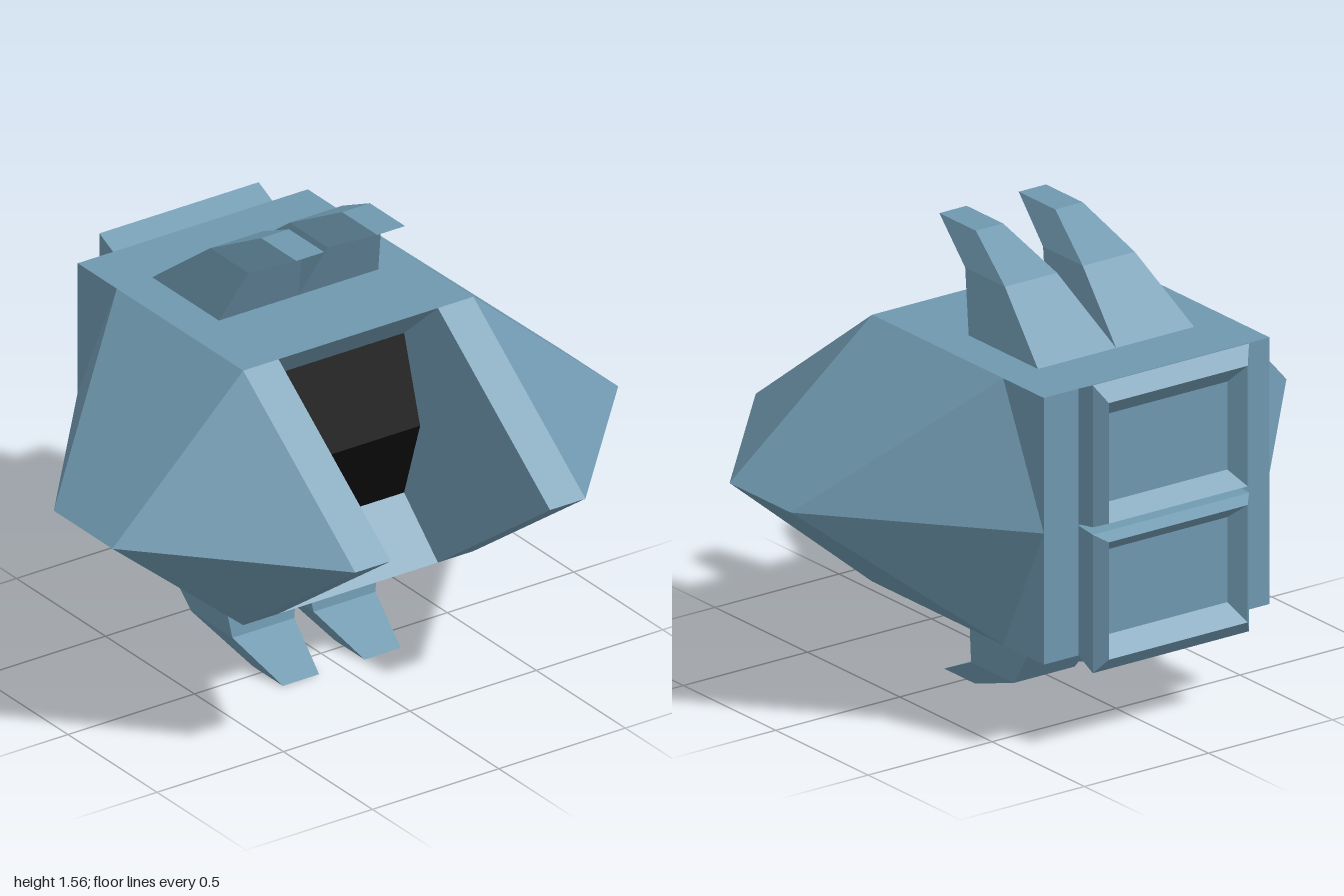
import * as THREE from 'three';

const hull = new THREE.MeshStandardMaterial({ color: 0x6f98af });
hull.name = 'steel blue';
const dark = new THREE.MeshStandardMaterial({ color: 0x0b0b0b });
dark.name = 'black';

// Flat-shaded mesh from convex polygons, each a list of [x, y, z] corners
function faces(name, polys, material) {
  const pos = [];
  for (const p of polys)
    for (let i = 1; i < p.length - 1; i++) pos.push(...p[0], ...p[i], ...p[i + 1]);
  const g = new THREE.BufferGeometry();
  g.setAttribute('position', new THREE.Float32BufferAttribute(pos, 3));
  g.computeVertexNormals();
  const mesh = new THREE.Mesh(g, material);
  mesh.name = name;
  return mesh;
}

// Polygons joining successive four-cornered rings, capped at the end
function loft(rings) {
  const polys = [];
  for (let i = 0; i < rings.length - 1; i++)
    for (let j = 0; j < 4; j++) {
      const k = (j + 1) % 4;
      polys.push([rings[i][j], rings[i][k], rings[i + 1][k], rings[i + 1][j]]);
    }
  polys.push(rings[rings.length - 1]);
  return polys;
}

// Mirror polygons to the chosen x side, reversing when the winding is turned over
const place = (polys, sx, flip) => polys.map((p) => {
  const q = p.map(([x, y, z]) => [x * sx, y, z]);
  return flip ? q.reverse() : q;
});

const O = 0.455, I = 0.315, M = 0.78, BACK = -0.72, FRONT = 0.21;

export function createModel() {
  const group = new THREE.Group();
  const levels = [
    { label: 'upper', up: 1, Y: 1.25, B: 1.08,
      // fin rings: y, inner x, outer x, back z, front z
      fin: [[1.25, 0, 0.315, -0.5, -0.125], [1.445, 0.052, 0.262, -0.25, -0.035], [1.56, 0.105, 0.215, -0.03, 0.168]],
      // nozzle rings: half width, low y, high y, z
      nozzle: [[I, 0.78, 1.25, BACK], [I, 0.793, 1.285, -0.797], [0.28, 0.81, 1.228, -0.837], [0.24, 0.86, 1.165, -0.78]] },
    { label: 'lower', up: -1, Y: 0.325, B: 0.5,
      fin: [[0.325, 0, 0.315, -0.5, -0.125], [0.1, 0.038, 0.283, -0.327, -0.095], [0, 0.09, 0.233, -0.05, 0.118]],
      nozzle: [[I, 0.325, 0.775, BACK], [I, 0.287, 0.767, -0.797], [0.28, 0.338, 0.745, -0.837], [0.24, 0.4, 0.695, -0.78]] },
  ];

  for (const { label, up, Y, B, fin, nozzle } of levels) {
    for (const sx of [1, -1]) {
      const name = `${label}${sx > 0 ? 'Left' : 'Right'}`;
      const flip = sx * up < 0;
      const add = (part, polys, mat = hull) =>
        group.add(faces(name + part, place(polys, sx, flip), mat));

      // Central body: deck, rear wall and rear corner of the flank
      add('Body', [
        [[0, Y, FRONT], [O, Y, FRONT], [O, Y, BACK], [0, Y, BACK]],
        [[0, Y, BACK], [O, Y, BACK], [O, M, BACK], [0, M, BACK]],
        [[O, Y, -0.5], [O, M, BACK], [O, Y, BACK]],
      ]);
      // Forward prong with its inner wall
      add('Prong', [
        [[I, Y, FRONT], [I, M, 0.84], [O, M, 0.84], [O, Y, FRONT]],
        [[I, Y, FRONT], [I, B, 0.02], [I, M, 0.11], [I, M, 0.84]],
      ]);
      // Side wing tapering to an edge
      add('Wing', [
        [[O, Y, FRONT], [O, M, 0.84], [1, M, 0.25]],
        [[O, Y, FRONT], [1, M, 0.25], [1, M, -0.08], [O, Y, -0.5]],
        [[O, Y, -0.5], [1, M, -0.08], [O, M, BACK]],
      ]);
      // Sloped lip and black window between the prongs
      add('WindowLip', [[[0, Y, FRONT], [0, B, 0.02], [I, B, 0.02], [I, Y, FRONT]]]);
      add('Window', [[[0, B, 0.02], [0, M, 0.11], [I, M, 0.11], [I, B, 0.02]]], dark);
      // Swept fin
      add('Fin', loft(fin.map(([y, x0, x1, z0, z1]) =>
        [[x0, y, z1], [x1, y, z1], [x1, y, z0], [x0, y, z0]])));
    }
    // Square rear nozzle with a recessed floor
    group.add(faces(label + 'Nozzle', loft(nozzle.map(([w, y0, y1, z]) =>
      [[w, y0, z], [-w, y0, z], [-w, y1, z], [w, y1, z]])), hull));
  }
  return group;
}
